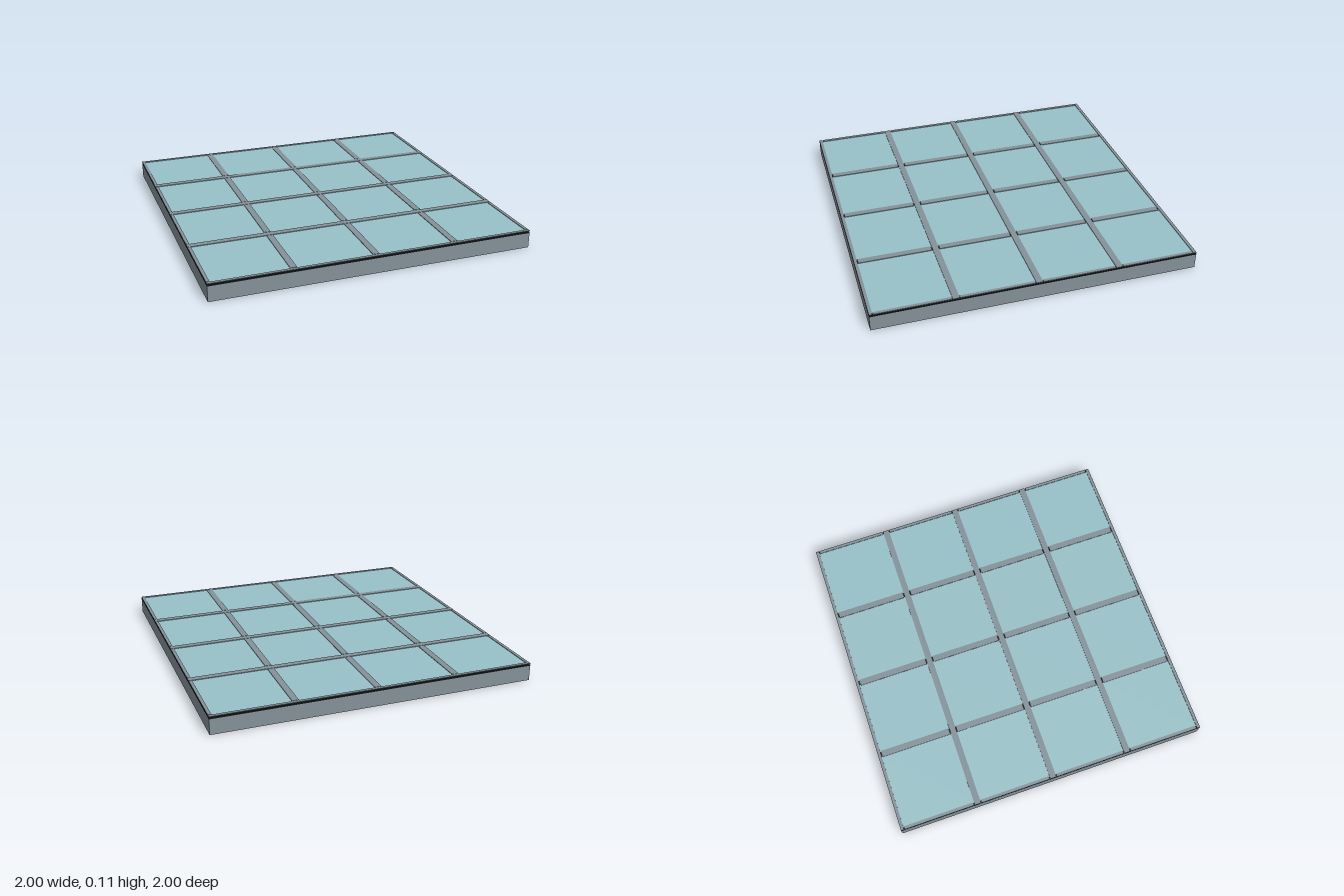
import * as THREE from 'three';

const CELLS = 4, PITCH = 0.5, BAR = 0.04, RIM = 0.02;

export function createModel() {
  const model = new THREE.Group();
  model.name = 'glazedRoofPanel';
  const paint = (name, color) => {
    const m = new THREE.MeshStandardMaterial({ color });
    m.name = name;
    return m;
  };
  const steel = paint('greySteel', 0x84929a);
  const rubber = paint('blackRubber', 0x191d1e);
  const glass = paint('paleBlueGlass', 0x98c1c8);

  function box(name, mat, w, y0, y1, d, x, z, parent) {
    const mesh = new THREE.Mesh(new THREE.BoxGeometry(w, y1 - y0, d), mat);
    mesh.name = name;
    mesh.position.set(x, (y0 + y1) / 2, z);
    parent.add(mesh);
  }

  // Grid line i: the outer lines are half as wide and sit inside the edge
  function line(i) {
    const at = -1 + i * PITCH;
    if (i === 0) return { at: at + RIM / 2, width: RIM };
    if (i === CELLS) return { at: at - RIM / 2, width: RIM };
    return { at, width: BAR };
  }

  // One layer of the lattice: long bars along x, short bars fitted between them
  function lattice(name, mat, y0, y1, gap) {
    const group = new THREE.Group();
    group.name = name + 'Grid';
    for (let i = 0; i <= CELLS; i++) {
      const { at, width } = line(i);
      box(name + 'Across', mat, 2, y0, y1, width, 0, at, group);
      for (let j = 0; j < CELLS; j++) {
        const a = line(j), b = line(j + 1);
        const z0 = a.at + a.width / 2 + gap, z1 = b.at - b.width / 2 - gap;
        box(name + 'Along', mat, width, y0, y1, z1 - z0, at, (z0 + z1) / 2, group);
      }
    }
    model.add(group);
  }

  // Deep beams, the seal on top of them, and the thin cover strips
  lattice('beam', steel, 0, 0.095, 0);
  lattice('seal', rubber, 0.095, 0.102, 0);
  lattice('coverStrip', steel, 0.108, 0.112, 0.004);

  // Glass panes, held between seal and cover strips
  const panes = new THREE.Group();
  panes.name = 'panes';
  for (let i = 0; i < CELLS; i++) {
    for (let j = 0; j < CELLS; j++) {
      box('pane', glass, 0.468, 0.102, 0.108, 0.468,
        -1 + (i + 0.5) * PITCH, -1 + (j + 0.5) * PITCH, panes);
    }
  }
  model.add(panes);
  return model;
}
